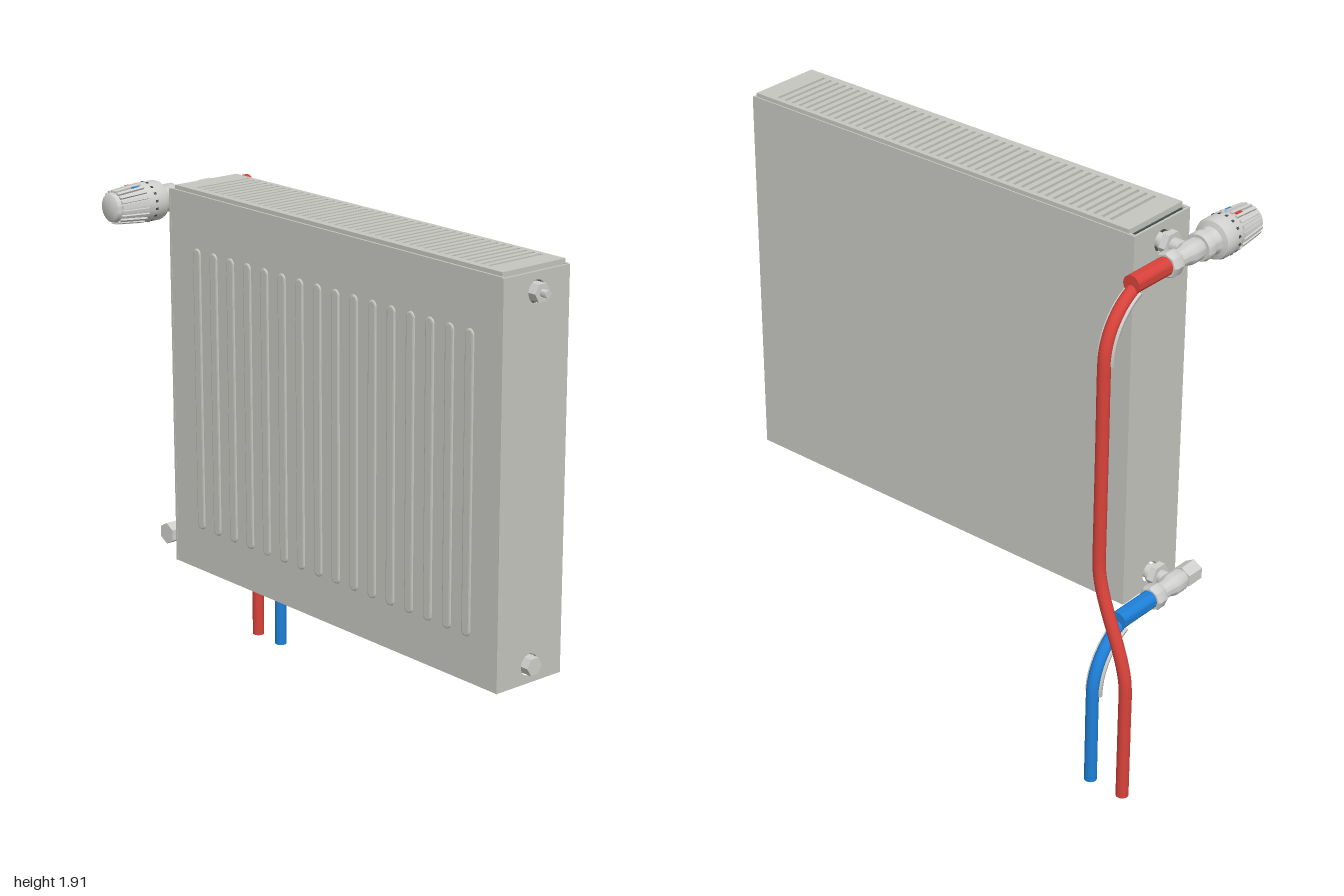
import * as THREE from 'three';
import { toCreasedNormals } from 'three/addons/utils/BufferGeometryUtils.js';

const mat = (name, color, side = THREE.FrontSide) => {
  const m = new THREE.MeshStandardMaterial({ color, side });
  m.name = name;
  return m;
};

export function createModel() {
  const root = new THREE.Group();
  root.name = 'radiator';
  const panel = mat('panelGrey', 0xc6c6c0);
  const metal = mat('fittingGrey', 0xcfcfcd, THREE.DoubleSide);
  const dark = mat('darkInterior', 0x4a4e51);
  const red = mat('hotRed', 0xd8423a);
  const blue = mat('coldBlue', 0x1e80d8);

  const add = (name, geo, material, x = 0, y = 0, z = 0, parent = root) => {
    const m = new THREE.Mesh(geo, material);
    m.name = name;
    m.position.set(x, y, z);
    parent.add(m);
    return m;
  };
  // Box given by its minimum and maximum corners
  const box = (name, material, a, b) => add(name,
    new THREE.BoxGeometry(b[0] - a[0], b[1] - a[1], b[2] - a[2]), material,
    (a[0] + b[0]) / 2, (a[1] + b[1]) / 2, (a[2] + b[2]) / 2);
  const rect = (C, x0, y0, x1, y1) => {
    const s = new C();
    s.moveTo(x0, y0); s.lineTo(x1, y0); s.lineTo(x1, y1); s.lineTo(x0, y1); s.closePath();
    return s;
  };
  // Turned part along z from [radius, z] pairs
  const turned = (profile, sides = 32) => toCreasedNormals(
    new THREE.LatheGeometry(profile.map(p => new THREE.Vector2(p[0], p[1])), sides).rotateX(Math.PI / 2), 0.6);
  // Rod or hex nut along z or x
  const rod = (name, material, axis, r, from, to, sides, x, y, z, parent) => {
    const g = new THREE.CylinderGeometry(r, r, to - from, sides).translate(0, (from + to) / 2, 0);
    if (axis === 'x') g.rotateZ(-Math.PI / 2); else g.rotateX(Math.PI / 2);
    return add(name, toCreasedNormals(g, 0.6), material, x, y, z, parent);
  };

  const topY = 1.828, lowY = 0.576, portZ = 0.066;

  // Casing: front, back, dark core, open at the bottom
  box('frontPanel', panel, [-0.727, 0.512, 0.198], [0.94, 1.895, 0.211]);
  box('backPanel', panel, [-0.727, 0.512, -0.077], [0.94, 1.895, -0.065]);
  box('core', dark, [-0.715, 0.6, -0.066], [0.928, 1.888, 0.199]);

  // Side panels with round port holes
  for (const x of [-0.726, 0.948]) {
    const s = rect(THREE.Shape, -0.077, 0.512, 0.212, 1.893);
    for (const y of [topY, lowY]) {
      const h = new THREE.Path();
      h.absarc(portZ, y, 0.038, 0, Math.PI * 2, true);
      s.holes.push(h);
    }
    const g = new THREE.ExtrudeGeometry(s, { depth: 0.009, bevelEnabled: false, curveSegments: 20 });
    add('sidePanel', g.rotateY(-Math.PI / 2), panel, x);
  }

  // Top grille with a row of slots
  const grille = rect(THREE.Shape, -0.71, -0.203, 0.933, 0.072);
  for (let i = 0; i < 45; i++) {
    const x = -0.62 + i * 0.0333;
    grille.holes.push(rect(THREE.Path, x - 0.0065, -0.176, x + 0.0065, 0.053));
  }
  add('topGrille', new THREE.ExtrudeGeometry(grille, { depth: 0.02, bevelEnabled: false })
    .rotateX(-Math.PI / 2), panel, 0, 1.889, 0);

  // Pressed vertical ribs on the front
  const rib = new THREE.Shape();
  rib.absarc(0, 1.685, 0.014, 0, Math.PI, false);
  rib.absarc(0, 0.69, 0.014, Math.PI, Math.PI * 2, false);
  rib.closePath();
  const ribGeo = new THREE.ExtrudeGeometry(rib, {
    depth: 0.002, bevelThickness: 0.005, bevelSize: 0.006, bevelSegments: 2, curveSegments: 8 });
  for (let i = 0; i < 16; i++) add('frontRib', ribGeo, panel, -0.581 + i * 0.0921, 0, 0.21);

  // Blanking plug and air vent on the left side
  for (const y of [topY, lowY]) rod('plug', metal, 'x', 0.033, 0.92, 0.973, 6, 0, y, portZ);
  rod('airVent', metal, 'x', 0.013, 0.97, 0.998, 12, 0, topY, portZ);

  // Valves: body, nuts and the branch into the casing
  const valve = (name, x, y) => {
    const g = new THREE.Group();
    g.name = name;
    g.position.set(x, y, 0);
    root.add(g);
    add('valveBody', turned([[0, -0.065], [0.031, -0.065], [0.031, 0.02], [0.039, 0.045],
      [0.039, 0.09], [0.031, 0.11], [0, 0.11]]), metal, 0, 0, 0, g);
    add('pipeNut', turned([[0, -0.07], [0.04, -0.07], [0.045, -0.062], [0.045, -0.028],
      [0.04, -0.02], [0, -0.02]], 8), metal, 0, 0, 0, g);
    rod('branch', metal, 'x', 0.025, 0, -0.71 - x, 20, 0, 0, portZ, g);
    rod('branchNut', metal, 'x', 0.046, -0.782 - x, -0.757 - x, 6, 0, 0, portZ, g);
    rod('branchCollar', metal, 'x', 0.034, -0.757 - x, -0.742 - x, 20, 0, 0, portZ, g);
    return g;
  };
  const hotX = -0.853, coldX = -0.84;
  const hot = valve('thermostaticValve', hotX, topY);
  const cold = valve('returnValve', coldX, lowY);
  rod('returnCap', metal, 'z', 0.04, 0.105, 0.175, 6, 0, 0, 0, cold);

  // Thermostatic head with collar, grip flutes and marks
  add('headCollar', turned([[0, 0.1], [0.045, 0.1], [0.05, 0.108], [0.05, 0.132], [0.043, 0.138],
    [0.043, 0.15], [0.05, 0.17], [0, 0.17]]), metal, 0, 0, 0, hot);
  add('head', turned([[0.045, 0.165], [0.066, 0.172], [0.071, 0.185], [0.071, 0.235], [0.064, 0.262],
    [0.053, 0.365], [0.049, 0.381], [0.04, 0.387], [0, 0.387]], 40), metal, 0, 0, 0, hot);
  const radial = (name, geo, material, count, r, z, tilt) => {
    for (let i = 0; i < count; i++) {
      const a = (i + 0.5) / count * Math.PI * 2;
      const m = add(name, geo, material, Math.cos(a) * r, Math.sin(a) * r, z, hot);
      m.rotation.set(0, tilt, a, 'ZYX');
    }
  };
  radial('gripFlute', new THREE.BoxGeometry(0.012, 0.01, 0.11), metal, 20, 0.06, 0.312, -0.1);
  radial('scaleMark', new THREE.BoxGeometry(0.004, 0.008, 0.01), dark, 16, 0.0705, 0.228, 0);
  for (const [m, x] of [[red, -0.02], [blue, 0.02]])
    add('temperatureMark', new THREE.BoxGeometry(0.011, 0.008, 0.025), m, x, 0.061, 0.285, hot);

  // Pipes: sleeve, quarter bend, drop with an optional sideways offset
  const R = 0.23, pipeZ = -0.365;
  const pipe = (name, material, x, y, endX) => {
    const pts = [[x, y, -0.06], [x, y, -0.1]];
    for (let i = 0; i <= 10; i++) {
      const a = i / 10 * Math.PI / 2;
      pts.push([x, y - R + R * Math.cos(a), pipeZ + R - R * Math.sin(a)]);
    }
    if (endX !== x) {
      pts.push([x, 1.3, pipeZ], [x, 0.93, pipeZ]);
      for (let i = 0; i <= 10; i++) {
        const t = i / 10;
        pts.push([x + (endX - x) * t * t * (3 - 2 * t), 0.88 - 0.47 * t, pipeZ]);
      }
      pts.push([endX, 0.36, pipeZ]);
    }
    pts.push([endX, 0.1, pipeZ], [endX, 0, pipeZ]);
    const curve = new THREE.CatmullRomCurve3(pts.map(p => new THREE.Vector3(...p)));
    add(name, new THREE.TubeGeometry(curve, 160, 0.022, 18), material);
    add(name + 'End', new THREE.CircleGeometry(0.022, 18).rotateX(Math.PI / 2), material, endX, 0, pipeZ);
    rod(name + 'Sleeve', material, 'z', 0.032, -0.24, -0.068, 24, x, y, 0);

    // Half-shell support hugging the inside of the bend
    const prof = [];
    for (let i = 0; i <= 12; i++) {
      const a = Math.PI * (0.53 + 0.94 * i / 12);
      prof.push(new THREE.Vector2(R + 0.033 * Math.cos(a), 0.033 * Math.sin(a)));
    }
    for (let i = 12; i >= 0; i--) {
      const a = Math.PI * (0.53 + 0.94 * i / 12);
      prof.push(new THREE.Vector2(R + 0.023 * Math.cos(a), 0.023 * Math.sin(a)));
    }
    prof.push(prof[0].clone());
    const shell = new THREE.LatheGeometry(prof, 20, 0.42, Math.PI / 2 - 0.42);
    shell.applyMatrix4(new THREE.Matrix4().makeBasis(
      new THREE.Vector3(0, 0, -1), new THREE.Vector3(-1, 0, 0), new THREE.Vector3(0, 1, 0)));
    add(name + 'BendSupport', toCreasedNormals(shell, 0.7), metal, x, y - R, pipeZ + R);
  };
  pipe('hotPipe', red, hotX, topY, -0.976);
  pipe('coldPipe', blue, coldX, lowY, coldX);

  return root;
}
